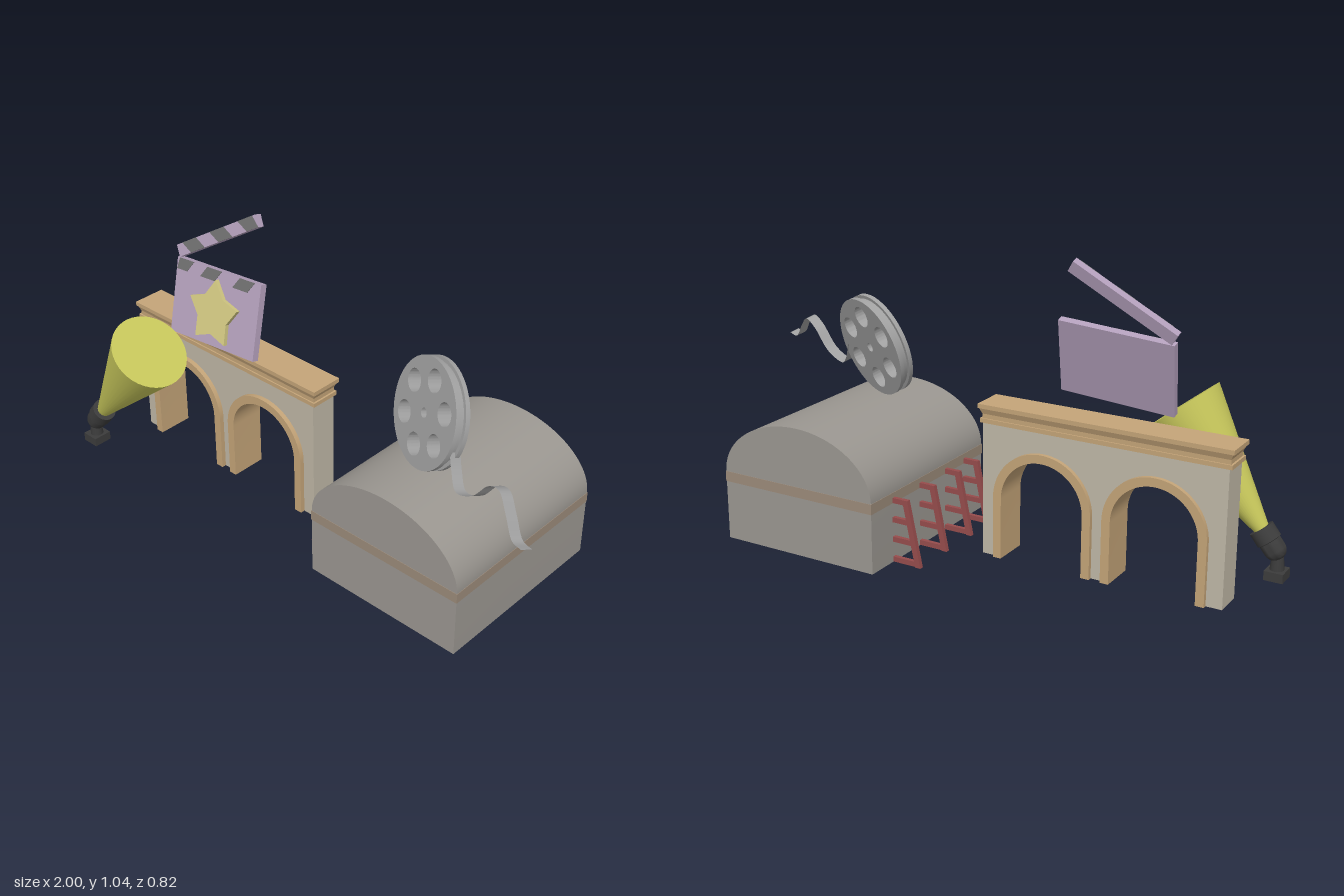
import * as THREE from 'three';
import { toCreasedNormals } from 'three/addons/utils/BufferGeometryUtils.js';

const mat = (color) => new THREE.MeshStandardMaterial({ color });
const tan = mat(0xc4a478), stone = mat(0xbfb7a6), wallGrey = mat(0x9b9791), bandBrown = mat(0x9c8b7a);
const red = mat(0x964c4c), steel = mat(0xa0a0a0), purple = mat(0xb39fbb), stripe = mat(0x707070);
const gold = mat(0xd2c882), beam = mat(0xc9c95c), black = mat(0x3c3c3c);

function add(parent, name, geometry, material, x = 0, y = 0, z = 0) {
  const mesh = new THREE.Mesh(geometry, material);
  mesh.name = name;
  mesh.position.set(x, y, z);
  parent.add(mesh);
  return mesh;
}

function group(parent, name) {
  const g = new THREE.Group();
  g.name = name;
  parent.add(g);
  return g;
}

// Extrude a shape from z0 to z1, keeping its edges sharp
function slab(shape, z0, z1, curveSegments = 24) {
  const g = new THREE.ExtrudeGeometry(shape, { depth: z1 - z0, bevelEnabled: false, curveSegments });
  return toCreasedNormals(g.translate(0, 0, z0), 0.5);
}

const polygon = (pts) => new THREE.Shape(pts.map(([x, y]) => new THREE.Vector2(x, y)));

// Box whose top and bottom rectangles may differ in half width and half depth
function taperedBox(y0, y1, [w0, d0], [w1, d1]) {
  const g = new THREE.BoxGeometry(2, y1 - y0, 2).toNonIndexed();
  const p = g.attributes.position;
  for (let i = 0; i < p.count; i++) {
    const top = p.getY(i) > 0;
    p.setX(i, p.getX(i) * (top ? w1 : w0));
    p.setZ(i, p.getZ(i) * (top ? d1 : d0));
  }
  g.translate(0, (y0 + y1) / 2, 0).computeVertexNormals();
  return g;
}

function buildArcade(parent) {
  const g = group(parent, 'arcade');
  const centres = [-0.67, -0.27], spring = 0.215;

  // Wall outline runs along the ground and around both openings
  const wall = new THREE.Shape();
  wall.moveTo(-0.905, 0);
  for (const c of centres) {
    wall.lineTo(c - 0.165, 0);
    wall.lineTo(c - 0.165, spring);
    wall.absarc(c, spring, 0.165, Math.PI, 0, true);
    wall.lineTo(c + 0.165, 0);
  }
  wall.lineTo(-0.043, 0);
  wall.lineTo(-0.043, 0.47);
  wall.lineTo(-0.905, 0.47);
  add(g, 'archWall', slab(wall, -0.045, 0.055), stone);

  // Trim lining each arch
  for (const c of centres) {
    const trim = new THREE.Shape();
    trim.moveTo(c + 0.15, 0);
    trim.lineTo(c + 0.18, 0);
    trim.lineTo(c + 0.18, spring);
    trim.absarc(c, spring, 0.18, 0, Math.PI, false);
    trim.lineTo(c - 0.18, 0);
    trim.lineTo(c - 0.15, 0);
    trim.lineTo(c - 0.15, spring);
    trim.absarc(c, spring, 0.15, Math.PI, 0, true);
    add(g, 'archTrim', slab(trim, -0.06, 0.072), tan);
  }

  // Stepped cornice
  const layers = [
    [0.465, 0.48, [0.441, 0.055], [0.441, 0.055]],
    [0.48, 0.495, [0.434, 0.05], [0.434, 0.05]],
    [0.495, 0.515, [0.434, 0.05], [0.443, 0.058]],
    [0.515, 0.53, [0.447, 0.061], [0.447, 0.061]],
  ];
  for (const l of layers) add(g, 'cornice', taperedBox(...l), tan, -0.474, 0, 0.005);
}

function buildHall(parent) {
  const g = group(parent, 'vaultedHall');
  const cx = 0.457;
  const s = new THREE.Shape();
  s.moveTo(cx - 0.3, 0.013);
  s.lineTo(cx + 0.3, 0.013);
  s.lineTo(cx + 0.3, 0.257);
  s.absellipse(cx, 0.257, 0.3, 0.205, 0, Math.PI, false);
  add(g, 'hallBody', slab(s, -0.41, 0.275, 32), wallGrey);
  add(g, 'hallBand', new THREE.BoxGeometry(0.603, 0.036, 0.688), bandBrown, cx, 0.239, -0.0675);

  // Raked frames against the side wall
  const leg = polygon([[0.05, 0.012], [0.07, 0.012], [0.118, 0.24], [0.098, 0.24]]);
  for (const z of [-0.283, -0.122, 0.037, 0.158]) {
    const f = group(g, 'sideFrame');
    add(f, 'frameLeg', slab(leg, z - 0.008, z + 0.008), red);
    for (const y of [0.023, 0.094, 0.163, 0.231]) {
      const x0 = 0.055 + (y - 0.012) * 0.21;
      add(f, 'frameRung', new THREE.BoxGeometry(0.16 - x0, 0.018, 0.014), red, (0.16 + x0) / 2, y, z);
    }
  }
}

function buildReel(parent) {
  const normal = new THREE.Vector3(-0.37, 0.26, 0.89).normalize();
  const g = group(parent, 'filmReel');
  g.position.set(0.435, 0.645, 0.03);
  g.quaternion.setFromUnitVectors(new THREE.Vector3(0, 0, 1), normal);

  // Disc with six windows and a spindle hole
  const disc = (r) => {
    const s = new THREE.Shape().absarc(0, 0, r, 0, Math.PI * 2, false);
    const hole = (x, y, hr) => s.holes.push(new THREE.Path().absarc(x, y, hr, 0, Math.PI * 2, true));
    hole(0, 0, 0.016);
    for (let i = 0; i < 6; i++) {
      const a = 0.43 + i * Math.PI / 3;
      hole(0.115 * Math.cos(a), 0.115 * Math.sin(a), 0.038);
    }
    return s;
  };
  add(g, 'frontFlange', slab(disc(0.18), 0.01, 0.025), steel);
  add(g, 'backFlange', slab(disc(0.18), -0.025, -0.01), steel);
  add(g, 'reelCore', slab(disc(0.168), -0.01, 0.01), steel);

  // Loose ribbon of film, as wide as the reel's gap direction
  const curve = new THREE.CatmullRomCurve3([
    [0.575, 0.62, 0.085], [0.61, 0.555, 0.115], [0.66, 0.525, 0.155], [0.73, 0.555, 0.17],
    [0.795, 0.63, 0.18], [0.85, 0.652, 0.203], [0.9, 0.61, 0.235], [0.945, 0.56, 0.262], [0.99, 0.563, 0.28],
  ].map((p) => new THREE.Vector3(...p)));
  const pos = [], idx = [], n = 64;
  for (let i = 0; i <= n; i++) {
    const p = curve.getPoint(i / n);
    for (const s of [-0.019, 0.019]) pos.push(...p.clone().addScaledVector(normal, s).toArray());
    if (i < n) idx.push(2 * i, 2 * i + 1, 2 * i + 2, 2 * i + 1, 2 * i + 3, 2 * i + 2);
  }
  const geo = new THREE.BufferGeometry();
  geo.setAttribute('position', new THREE.Float32BufferAttribute(pos, 3));
  geo.setIndex(idx);
  geo.computeVertexNormals();
  const film = mat(0xa0a0a0);
  film.side = THREE.DoubleSide;
  add(parent, 'filmStrip', geo, film);
}

function buildClapper(parent) {
  const g = group(parent, 'clapperboard');
  g.position.set(-0.465, 0.688, 0.08);
  g.rotation.x = -0.28;
  const board = group(g, 'slate');
  board.rotation.z = 0.083;
  add(board, 'slatePanel', new THREE.BoxGeometry(0.4, 0.265, 0.026), purple);

  // Slanted stripes across a strip starting at (x, y)
  const stripes = (target, x, y, h, slant, starts) => {
    for (const a of starts) {
      const q = [[a, 0], [a + 0.07, 0], [a + 0.07 + slant, h], [a + slant, h]]
        .map(([u, v]) => [x + Math.min(Math.max(u, 0), 0.395), y + v]);
      add(target, 'stripe', slab(polygon(q), 0.012, 0.0145), stripe);
    }
  };
  stripes(board, -0.198, 0.092, 0.04, 0.03, [-0.02, 0.115, 0.27]);

  // Raised hinged stick
  const stick = group(g, 'clapStick');
  stick.position.set(-0.201, 0.117, 0);
  stick.rotation.z = 0.571;
  add(stick, 'stickBar', new THREE.BoxGeometry(0.395, 0.043, 0.026), purple, 0.1975, 0.0215, 0);
  stripes(stick, 0, 0, 0.043, -0.03, [0.06, 0.2, 0.34]);

  // Star on the slate
  const pts = [];
  for (let i = 0; i < 10; i++) {
    const a = Math.PI / 2 + i * Math.PI / 5, r = i % 2 ? 0.072 : 0.118;
    pts.push([r * Math.cos(a), r * Math.sin(a)]);
  }
  add(board, 'star', slab(polygon(pts), 0.01, 0.028), gold, 0.005, -0.016, 0);
}

function buildSpotlight(parent) {
  const g = group(parent, 'spotlight');
  add(g, 'lampBase', new THREE.BoxGeometry(0.065, 0.032, 0.07), black, -0.967, 0.016, 0.268);
  add(g, 'lampNeck', new THREE.CylinderGeometry(0.02, 0.024, 0.05, 16), black, -0.967, 0.055, 0.268);
  const head = group(g, 'lampHead');
  head.position.set(-0.955, 0.1, 0.268);
  head.rotation.z = -0.663;

  // Rounded housing flaring slightly at the lens
  const profile = [];
  for (let i = 0; i <= 8; i++) {
    const a = (i / 8) * Math.PI / 2;
    profile.push(new THREE.Vector2(0.038 * Math.sin(a), -0.038 * Math.cos(a)));
  }
  for (const [x, y] of [[0.038, 0.03], [0.043, 0.032], [0.043, 0.08], [0, 0.08]]) profile.push(new THREE.Vector2(x, y));
  add(head, 'lampHousing', toCreasedNormals(new THREE.LatheGeometry(profile, 24), 0.6), black);
  add(head, 'lightBeam', new THREE.CylinderGeometry(0.138, 0.024, 0.482, 40), beam, 0, 0.311, 0);
}

export function createModel() {
  const model = new THREE.Group();
  model.name = 'filmStudioSet';
  buildArcade(model);
  buildHall(model);
  buildReel(model);
  buildClapper(model);
  buildSpotlight(model);
  return model;
}
